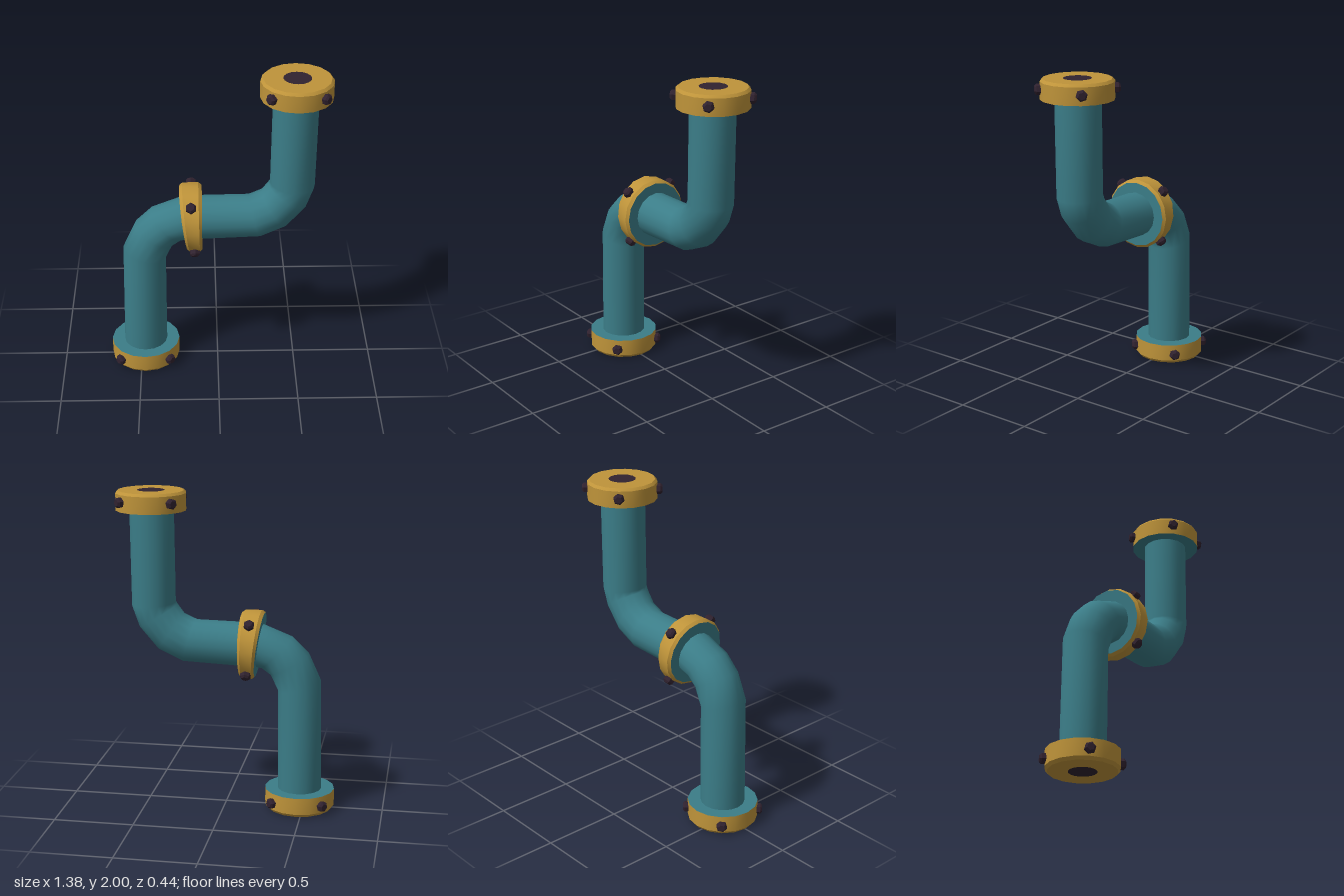
import * as THREE from 'three';

const mat = (name, color) => {
  const m = new THREE.MeshStandardMaterial({ color });
  m.name = name;
  return m;
};

const SIDES = 16;

// Skin through circular rings { x, y, tx, ty, r } lying across a path in the XY plane
function loft(rings) {
  const pos = [], idx = [];
  for (const { x, y, tx, ty, r } of rings) {
    const l = Math.hypot(tx, ty);
    for (let j = 0; j < SIDES; j++) {
      const a = (j / SIDES) * Math.PI * 2, c = r * Math.cos(a);
      pos.push(x - (ty / l) * c, y + (tx / l) * c, r * Math.sin(a));
    }
  }
  for (let i = 0; i < rings.length - 1; i++) {
    for (let j = 0; j < SIDES; j++) {
      const k = (j + 1) % SIDES, a = i * SIDES, b = a + SIDES;
      idx.push(a + j, a + k, b + k, a + j, b + k, b + j);
    }
  }
  const g = new THREE.BufferGeometry();
  g.setAttribute('position', new THREE.Float32BufferAttribute(pos, 3));
  g.setIndex(idx);
  g.computeVertexNormals();
  return g;
}

export function createModel() {
  const teal = mat('teal paint', 0x3b7d88);
  const gold = mat('brass', 0xbf943a);
  const dark = mat('dark iron', 0x30222f);
  const model = new THREE.Group();
  model.name = 'pipe';

  const add = (parent, name, geometry, material) => {
    const m = new THREE.Mesh(geometry, material);
    m.name = name;
    parent.add(m);
    return m;
  };

  // S-shaped pipe: x, y, tangent x, tangent y
  const path = [
    [-0.472, 0.06, 0, 1], [-0.462, 0.80, 0.27, 0.96], [-0.40, 0.935, 0.5, 0.87],
    [-0.32, 1.005, 0.72, 0.69], [-0.19, 1.05, 0.99, 0.13], [-0.10, 1.05, 1, 0.02],
    [0.23, 1.06, 0.96, 0.28], [0.35, 1.115, 0.82, 0.57],
    [0.432, 1.215, 0.52, 0.85], [0.46, 1.29, 0.08, 1], [0.467, 1.94, 0, 1],
  ];
  add(model, 'bentPipe', loft(path.map(([x, y, tx, ty]) => ({ x, y, tx, ty, r: 0.139 }))), teal);

  // Hexagonal bolt head with a chamfer, pointing along +y
  const boltGeo = new THREE.LatheGeometry(
    [[0.034, 0.19], [0.034, 0.238], [0.022, 0.25], [0, 0.25]].map(p => new THREE.Vector2(...p)), 6
  ).toNonIndexed();
  boltGeo.computeVertexNormals();

  // Flange between two ring planes; each band is [r0, s0, r1, s1, material, name]
  function flange(name, A, B, bands) {
    const g = new THREE.Group();
    g.name = name;
    const ring = (r, s) => {
      const [x, y, tx, ty] = A.map((v, i) => v + (B[i] - v) * s);
      return { x, y, tx, ty, r };
    };
    for (const [r0, s0, r1, s1, material, part] of bands) {
      add(g, part, loft([ring(r0, s0), ring(r1, s1)]), material);
    }
    const { x, y, tx, ty } = ring(0, 0.5), l = Math.hypot(tx, ty);
    for (let k = 0; k < 4; k++) {
      const a = Math.PI / 4 + (k * Math.PI) / 2;
      const d = new THREE.Vector3((-ty / l) * Math.cos(a), (tx / l) * Math.cos(a), Math.sin(a));
      const b = add(g, 'bolt', boltGeo, dark);
      b.position.set(x, y, 0);
      b.quaternion.setFromUnitVectors(new THREE.Vector3(0, 1, 0), d);
    }
    model.add(g);
  }

  const R = 0.22, C = 0.205, H = 0.085;
  flange('bottomFlange', [-0.472, 0, 0, 1], [-0.472, 0.125, 0, 1], [
    [0, 0, H, 0, dark, 'opening'],
    [H, 0, C, 0, gold, 'endFace'],
    [C, 0, R, 0.15, gold, 'bevel'],
    [R, 0.15, R, 1, gold, 'rim'],
    [R, 1, 0.12, 1, teal, 'innerFace'],
  ]);
  flange('middleFlange', [-0.212, 1.05, 0.99, 0.13], [-0.098, 1.048, 1, 0], [
    [0.12, 0, C, 0, teal, 'innerFace'],
    [C, 0, R, 0.15, gold, 'bevel'],
    [R, 0.15, R, 0.85, gold, 'rim'],
    [R, 0.85, C, 1, gold, 'bevel'],
    [C, 1, 0.12, 1, teal, 'innerFace'],
  ]);
  flange('topFlange', [0.47, 1.878, 0, 1], [0.47, 2, 0, 1], [
    [0.12, 0, R, 0, teal, 'innerFace'],
    [R, 0, R, 0.87, gold, 'rim'],
    [R, 0.87, C, 1, gold, 'bevel'],
    [C, 1, H, 1, gold, 'endFace'],
    [H, 1, 0, 1, dark, 'opening'],
  ]);

  return model;
}
